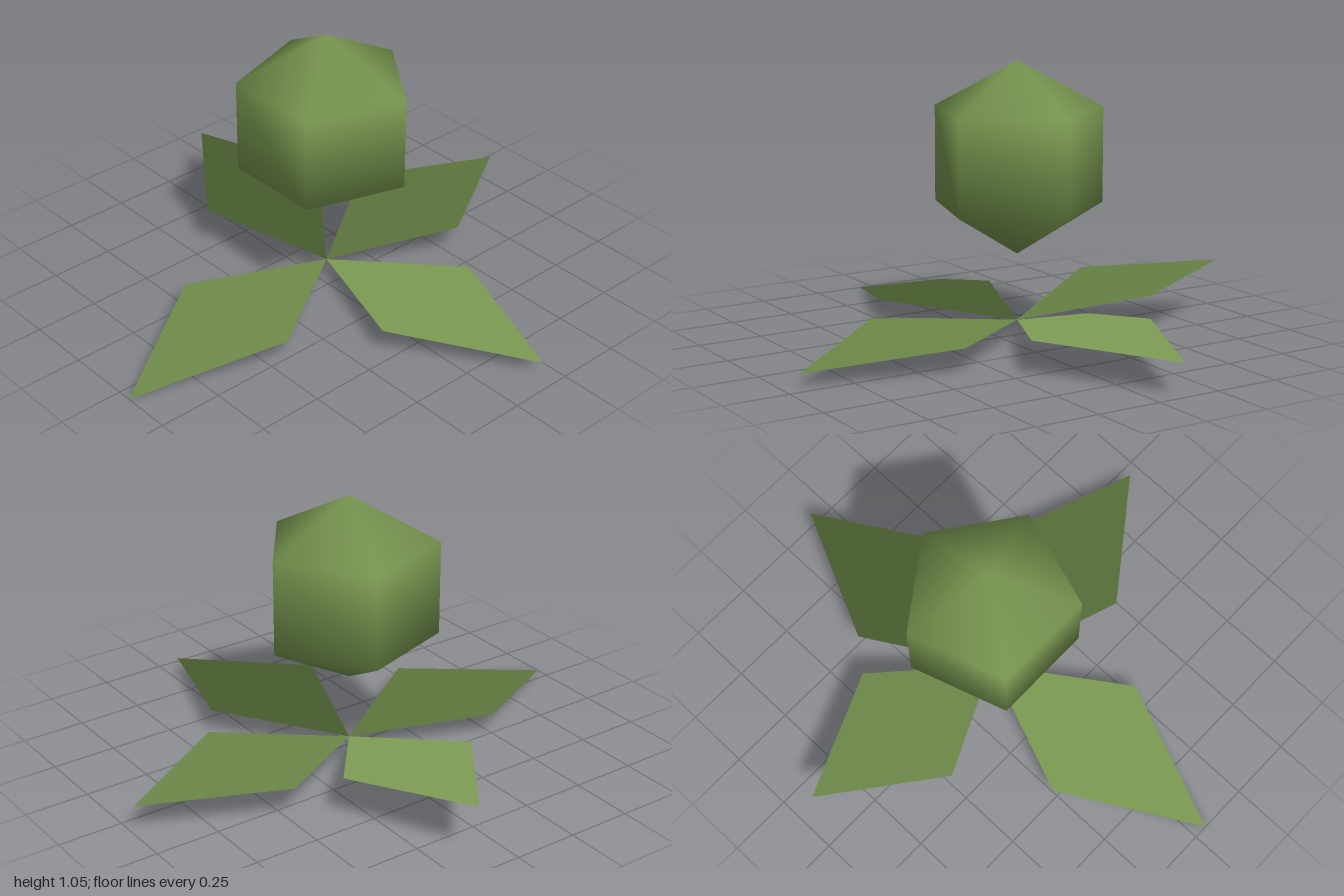
import * as THREE from 'three';

const CENTRE = [0.04, 0.07, -0.055];

// A kite-shaped leaf with a raised midrib; a and b are its left and right
// corners when looking outward from the stem. Normals lean towards the tip.
function makeLeaf(name, { a, b, mid, tip }, material) {
  const geo = new THREE.BufferGeometry();
  const points = [CENTRE, a, b, mid, tip];
  geo.setAttribute('position', new THREE.Float32BufferAttribute(points.flat(), 3));
  geo.setIndex([0, 2, 3, 3, 2, 4, 0, 3, 1, 3, 4, 1]);

  const out = new THREE.Vector3(tip[0] - CENTRE[0], 0, tip[2] - CENTRE[2]).normalize();
  const n = out.multiplyScalar(0.8).add(new THREE.Vector3(0, 0.6, 0)).normalize();
  const normals = points.flatMap(() => n.toArray());
  geo.setAttribute('normal', new THREE.Float32BufferAttribute(normals, 3));

  const mesh = new THREE.Mesh(geo, material);
  mesh.name = name;
  return mesh;
}

export function createModel() {
  const group = new THREE.Group();
  group.name = 'plant';

  const leafGreen = new THREE.MeshStandardMaterial({ color: 0x77954f, side: THREE.DoubleSide });
  leafGreen.name = 'leafGreen';

  // Five-sided bulb floating over the leaves
  const bulbGeo = new THREE.SphereGeometry(0.3625, 5, 3, Math.PI);
  bulbGeo.scale(1.057, 1, 1.057);
  const bulb = new THREE.Mesh(bulbGeo, leafGreen);
  bulb.name = 'bulb';
  bulb.position.set(CENTRE[0], 0.6875, CENTRE[2]);
  group.add(bulb);

  // Four leaves spreading from one point on a slightly tilted base
  const leaves = {
    leftLeaf: { a: [0.485, 0.13, -0.345], b: [0.51, 0.13, 0.19], mid: [0.475, 0.185, -0.075], tip: [1, 0.12, -0.105] },
    rightLeaf: { a: [-0.435, 0.09, 0.265], b: [-0.49, 0.09, -0.265], mid: [-0.44, 0.14, 0], tip: [-1, 0, 0.055] },
    frontLeaf: { a: [0.38, 0.1, 0.38], b: [-0.15, 0.105, 0.465], mid: [0.11, 0.155, 0.405], tip: [0.2, 0.05, 0.935] },
    backLeaf: { a: [-0.185, 0.175, -0.505], b: [0.35, 0.175, -0.45], mid: [0.08, 0.225, -0.44], tip: [0.13, 0.215, -0.935] },
  };
  for (const [name, shape] of Object.entries(leaves)) group.add(makeLeaf(name, shape, leafGreen));

  return group;
}
